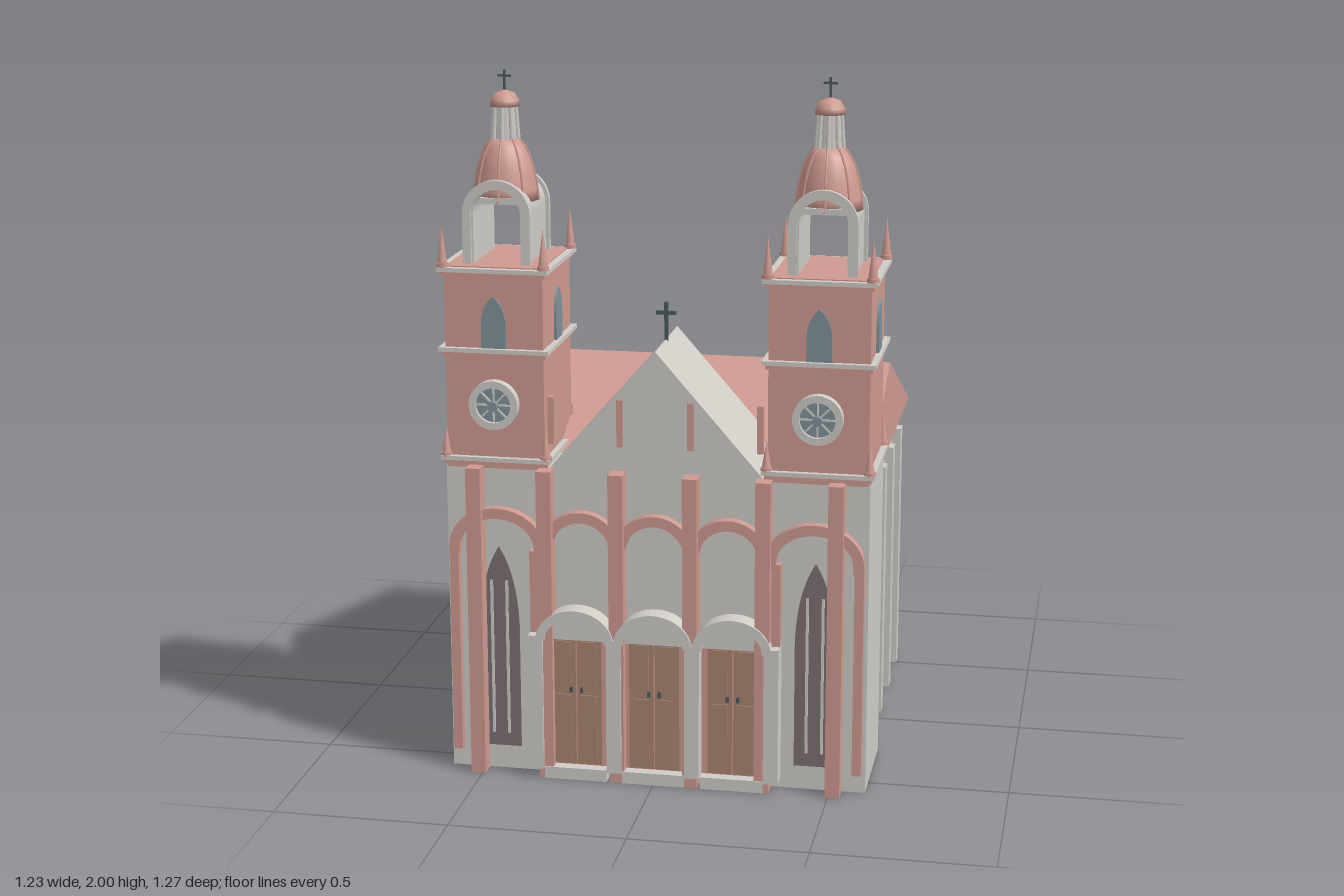
import * as THREE from 'three';

const mat = (name, color) => {
  const m = new THREE.MeshStandardMaterial({ color });
  m.name = name;
  return m;
};

export function createModel() {
  const stone = mat('pale stone', 0xd0cdc7), rose = mat('rose stone', 0xcf9a90);
  const glass = mat('blue glass', 0x7f9299), dusk = mat('mauve glass', 0x7d7073);
  const wood = mat('door wood', 0xaa8570), iron = mat('dark iron', 0x4a575d);
  const model = new THREE.Group();
  model.name = 'church';

  const add = (parent, name, geo, material, x = 0, y = 0, z = 0) => {
    const m = new THREE.Mesh(geo, material);
    m.name = name;
    m.position.set(x, y, z);
    parent.add(m);
    return m;
  };
  // box given by its limits
  const box = (parent, name, material, x0, x1, y0, y1, z0, z1) =>
    add(parent, name, new THREE.BoxGeometry(x1 - x0, y1 - y0, z1 - z0), material,
      (x0 + x1) / 2, (y0 + y1) / 2, (z0 + z1) / 2);
  const extrude = (shape, depth) =>
    new THREE.ExtrudeGeometry(shape, { depth, bevelEnabled: false, curveSegments: 16 });
  const polygon = pts => new THREE.Shape(pts.map(p => new THREE.Vector2(...p)));
  // pointed window outline, standing on y = 0
  const lancet = (w, h, rise) => {
    const s = new THREE.Shape();
    s.moveTo(-w, 0);
    s.lineTo(w, 0);
    s.lineTo(w, h - rise);
    s.quadraticCurveTo(w * 0.9, h - rise * 0.35, 0, h);
    s.quadraticCurveTo(-w * 0.9, h - rise * 0.35, -w, h - rise);
    return s;
  };
  // arched band with legs of the given length below the springing line
  const archBand = (rx, ry, t, leg) => {
    const s = new THREE.Shape();
    s.moveTo(rx, -leg);
    s.lineTo(rx, 0);
    s.absellipse(0, 0, rx, ry, 0, Math.PI, false);
    s.lineTo(-rx, -leg);
    s.lineTo(-rx + t, -leg);
    s.lineTo(-rx + t, 0);
    s.absellipse(0, 0, rx - t, ry - t, Math.PI, 0, true);
    s.lineTo(rx - t, -leg);
    return s;
  };
  const cross = (parent, x, y, z, h, w, t) => {
    box(parent, 'crossPost', iron, x - t, x + t, y, y + h, z - t, z + t);
    box(parent, 'crossBar', iron, x - w, x + w, y + h * 0.68, y + h * 0.68 + 2 * t, z - t, z + t);
  };

  // nave with its roof
  box(model, 'naveWalls', stone, -0.55, 0.55, 0, 0.845, -0.61, 0.3);
  box(model, 'backWallTop', stone, -0.55, 0.55, 0.84, 0.866, -0.612, -0.6);
  const roof = extrude(polygon([[-0.55, 0.845], [0.632, 0.845], [0.632, 0.852], [0.04, 1.105], [-0.55, 0.852]]), 1.17);
  roof.rotateY(Math.PI / 2);
  add(model, 'naveRoof', roof, rose, -0.585, 0, 0);
  for (const s of [-1, 1]) {
    for (let i = 0; i < 4; i++) {
      const z = 0.153 - i * 0.225;
      add(model, 'navePilaster', new THREE.BoxGeometry(0.03, 0.78, 0.052), stone, s * 0.562, 0.39, z);
      const w = add(model, 'naveWindow', extrude(lancet(0.055, 0.38, 0.19), 0.006), glass, s * 0.549, 0.24, z + 0.11);
      w.rotation.y = s * Math.PI / 2;
    }
  }

  // front block and gable
  box(model, 'facade', stone, -0.6, 0.6, 0, 0.91, 0.245, 0.575);
  add(model, 'gable', extrude(polygon([[-0.305, 0.905], [0.305, 0.905], [0, 1.255]]), 0.33), stone, 0, 0, 0.245);
  cross(model, 0, 1.25, 0.41, 0.11, 0.028, 0.005);
  for (const x of [-0.295, -0.1, 0.1, 0.295])
    box(model, 'gableStrip', rose, x - 0.009, x + 0.009, 0.98, 1.115, 0.565, 0.582);

  // buttresses and the blind arcade between them
  for (const x of [-0.512, -0.31, -0.105, 0.105, 0.31, 0.512])
    box(model, 'buttress', rose, x - 0.021, x + 0.021, 0, 0.91, 0.57, 0.627);
  for (const [x, r] of [[-0.452, 0.138], [-0.21, 0.115], [0, 0.115], [0.21, 0.115], [0.452, 0.138]])
    add(model, 'arcadeArch', extrude(archBand(r, 0.115, 0.03, 0.02), 0.035), rose, x, 0.675, 0.57);
  for (const s of [-1, 1]) {
    for (const x of [0.577, 0.345])
      box(model, 'arcadeShaft', rose, s * x - 0.013, s * x + 0.013, 0.06, 0.67, 0.57, 0.603);
    add(model, 'tallWindow', extrude(lancet(0.057, 0.6, 0.23), 0.008), dusk, s * 0.453, 0.07, 0.57);
    for (const dx of [-0.022, 0.022])
      box(model, 'tallWindowMullion', stone, s * 0.453 + dx - 0.004, s * 0.453 + dx + 0.004, 0.11, 0.57, 0.575, 0.582);
  }

  // three portals with double doors
  for (const x of [-0.225, 0, 0.225]) {
    const p = new THREE.Group();
    p.name = 'portal';
    p.position.x = x;
    model.add(p);
    add(p, 'portalArch', extrude(archBand(0.112, 0.095, 0.026, 0), 0.065), stone, 0, 0.415, 0.57);
    const fill = new THREE.Shape();
    fill.absellipse(0, 0, 0.092, 0.075, 0, Math.PI, false);
    add(p, 'tympanum', extrude(fill, 0.04), stone, 0, 0.415, 0.57);
    for (const s of [-1, 1]) {
      box(p, 'portalColumn', stone, s * 0.1125 - 0.021, s * 0.1125 + 0.021, 0.03, 0.43, 0.57, 0.635);
      box(p, 'doorLeaf', wood, s * 0.037 - 0.035, s * 0.037 + 0.035, 0.04, 0.43, 0.57, 0.605);
      for (const y of [0.06, 0.28])
        box(p, 'doorPanel', wood, s * 0.037 - 0.022, s * 0.037 + 0.022, y, y + (y < 0.1 ? 0.19 : 0.13), 0.6, 0.609);
      box(p, 'doorHandle', iron, s * 0.015 - 0.004, s * 0.015 + 0.004, 0.258, 0.274, 0.604, 0.612);
    }
    box(p, 'doorBacking', rose, -0.09, 0.09, 0.03, 0.43, 0.57, 0.598);
    box(p, 'threshold', stone, -0.09, 0.09, 0, 0.035, 0.57, 0.63);
  }

  // twin towers
  const dome = [[0, 1.64], [0.094, 1.64], [0.09, 1.67], [0.082, 1.72], [0.07, 1.76], [0.055, 1.79], [0.04, 1.81], [0, 1.812]];
  const cap = [[0, 1.897], [0.042, 1.9], [0.04, 1.917], [0.028, 1.936], [0, 1.946]];
  const lathe = (pts, n) => new THREE.LatheGeometry(pts.map(p => new THREE.Vector2(...p)), n);
  for (const side of [-1, 1]) {
    const t = new THREE.Group();
    t.name = side > 0 ? 'leftTower' : 'rightTower';
    t.position.set(side * 0.455, 0, 0.411);
    model.add(t);
    const slab = (name, m, hx, hz, y0, y1) => box(t, name, m, -hx, hx, y0, y1, -hz, hz);
    slab('towerBody', rose, 0.14, 0.165, 0.9, 1.46);
    for (const y of [0.91, 1.222, 1.448]) {
      slab('corniceLower', rose, 0.148, 0.174, y, y + 0.012);
      slab('corniceUpper', stone, 0.157, 0.181, y + 0.012, y + 0.024);
    }
    slab('towerDeck', rose, 0.137, 0.161, 1.465, 1.475);

    // corner pinnacles on two levels
    for (const [y, h] of [[0.93, 0.09], [1.472, 0.118]])
      for (const sx of [-1, 1]) for (const sz of [-1, 1]) {
        add(t, 'pinnacle', new THREE.ConeGeometry(0.015, h, 8), rose, sx * 0.143, y + h / 2, sz * 0.165);
        add(t, 'pinnacleFoot', new THREE.CylinderGeometry(0.017, 0.017, 0.012, 8), rose, sx * 0.143, y + 0.006, sz * 0.165);
      }

    // pointed windows on the front and both flanks
    for (const [x, z, a] of [[0, 0.164, 0], [0.139, 0, Math.PI / 2], [-0.139, 0, -Math.PI / 2]])
      add(t, 'towerWindow', extrude(lancet(0.035, 0.147, 0.075), 0.009), glass, x, 1.247, z).rotation.y = a;

    // round window
    const ring = new THREE.Shape();
    ring.absarc(0, 0, 0.07, 0, Math.PI * 2);
    const hole = new THREE.Path();
    hole.absarc(0, 0, 0.05, 0, Math.PI * 2, true);
    ring.holes.push(hole);
    add(t, 'roseWindowFrame', extrude(ring, 0.033), stone, 0, 1.088, 0.16);
    add(t, 'roseWindowGlass', new THREE.CylinderGeometry(0.052, 0.052, 0.02, 24).rotateX(Math.PI / 2), glass, 0, 1.088, 0.172);
    for (let i = 0; i < 4; i++)
      add(t, 'roseWindowSpoke', new THREE.BoxGeometry(0.1, 0.005, 0.006), stone, 0, 1.088, 0.183).rotation.z = i * Math.PI / 4;
    add(t, 'roseWindowHub', new THREE.CylinderGeometry(0.014, 0.014, 0.02, 12).rotateX(Math.PI / 2), glass, 0, 1.088, 0.194);

    // open belfry vault with the bell-shaped dome above
    add(t, 'belfryVault', extrude(archBand(0.085, 0.085, 0.018, 0.15), 0.23), stone, 0, 1.615, -0.115);
    for (const z of [-0.123, 0.108])
      add(t, 'belfryArch', extrude(archBand(0.096, 0.095, 0.024, 0.145), 0.015), stone, 0, 1.615, z);
    box(t, 'belfryCeiling', stone, -0.06, 0.06, 1.638, 1.655, -0.096, 0.096);
    add(t, 'dome', lathe(dome, 16), rose);
    for (let i = 0; i < 8; i++) {
      const a = i * Math.PI / 4;
      const rib = new THREE.CatmullRomCurve3(dome.slice(1, 7).map(([r, y]) =>
        new THREE.Vector3(r * Math.cos(a), y, r * Math.sin(a))));
      add(t, 'domeRib', new THREE.TubeGeometry(rib, 8, 0.004, 5), rose);
      const post = add(t, 'lanternPost', new THREE.CylinderGeometry(0.006, 0.007, 0.095, 6), stone,
        0.034 * Math.cos(a), 1.855, 0.034 * Math.sin(a));
      post.rotation.set(-0.06 * Math.sin(a), 0, 0.06 * Math.cos(a));
    }
    add(t, 'lantern', new THREE.CylinderGeometry(0.03, 0.036, 0.095, 8), stone, 0, 1.855, 0);
    add(t, 'lanternCap', lathe(cap, 16), rose);
    cross(t, 0, 1.94, 0, 0.06, 0.019, 0.003);
  }
  return model;
}
